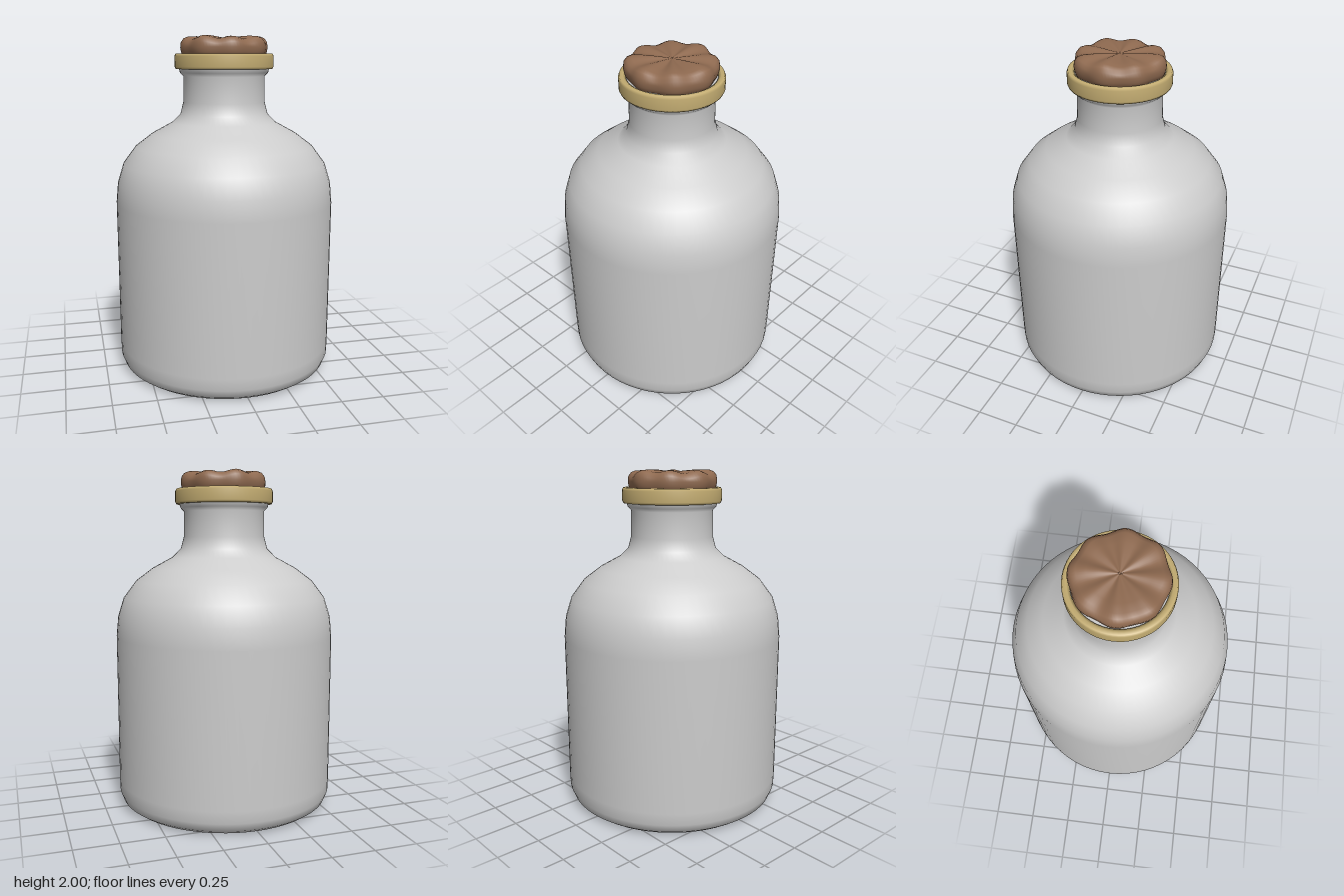
import * as THREE from 'three';

const material = (color) => new THREE.MeshStandardMaterial({ color });

// Revolve a list of [radius, height] points, bottom to top
function lathe(name, points, color, segments = 64) {
  const profile = points.map(([r, y]) => new THREE.Vector2(r, y));
  const mesh = new THREE.Mesh(new THREE.LatheGeometry(profile, segments), material(color));
  mesh.name = name;
  return mesh;
}

export function createModel() {
  const group = new THREE.Group();
  group.name = 'corkedBottle';

  // Bottle body with rounded base, sloping shoulder, neck and small lip
  group.add(lathe('bottle', [
    [0, 0], [0.58, 0], [0.595, 0.005], [0.63, 0.03], [0.65, 0.08], [0.652, 0.15],
    [0.652, 1.03], [0.64, 1.15], [0.605, 1.26], [0.53, 1.36], [0.43, 1.435],
    [0.31, 1.5], [0.26, 1.55], [0.242, 1.62], [0.24, 1.77], [0.26, 1.79],
    [0.268, 1.82], [0.268, 1.87], [0.24, 1.885], [0, 1.885],
  ], 0xcccccc));

  // Cord band around the mouth
  group.add(lathe('neckBand', [
    [0.25, 1.825], [0.265, 1.812], [0.285, 1.812], [0.291, 1.825], [0.291, 1.885],
    [0.285, 1.9], [0.265, 1.9], [0.25, 1.89], [0.25, 1.825],
  ], 0xc4ad72));

  // Stopper cover, pleated by eight waves that fade towards the centre
  const stopper = lathe('stopper', [
    [0.22, 1.86], [0.243, 1.89], [0.25, 1.91], [0.254, 1.935], [0.25, 1.96],
    [0.235, 1.98], [0.21, 1.99], [0.16, 1.992], [0.1, 1.99], [0.05, 1.988], [0, 1.986],
  ], 0x8f6a50, 96);
  const pos = stopper.geometry.attributes.position;
  for (let i = 0; i < pos.count; i++) {
    const x = pos.getX(i), y = pos.getY(i), z = pos.getZ(i);
    const r = Math.hypot(x, z);
    const a = Math.atan2(z, x);
    const wave = Math.cos(8 * a) + 0.35 * Math.sin(3 * a + 0.6);
    const radial = 1 + 0.024 * wave * Math.min(1, r / 0.2);
    const lift = y > 1.95 ? 0.007 * wave * Math.min(1, r / 0.12) : 0;
    pos.setXYZ(i, x * radial, y + lift, z * radial);
  }
  // Keep the closing seam smooth by reusing the first column's normals
  stopper.geometry.computeVertexNormals();
  const normal = stopper.geometry.attributes.normal;
  const rows = 11;
  for (let j = 0; j < rows; j++) {
    const last = pos.count - rows + j;
    const n = new THREE.Vector3().fromBufferAttribute(normal, j)
      .add(new THREE.Vector3().fromBufferAttribute(normal, last)).normalize();
    normal.setXYZ(j, n.x, n.y, n.z);
    normal.setXYZ(last, n.x, n.y, n.z);
  }
  group.add(stopper);

  return group;
}
